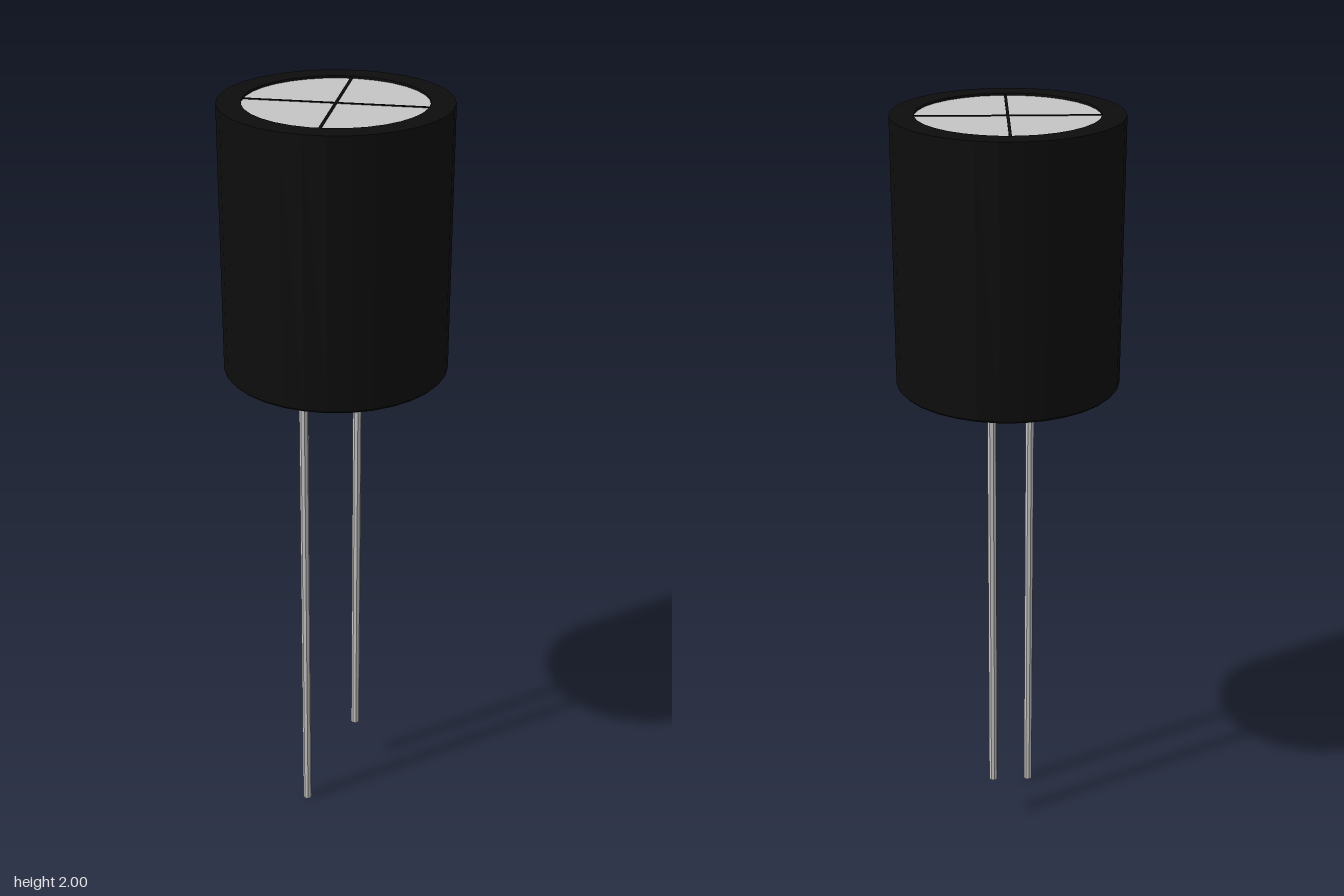
import * as THREE from 'three';

export function createModel() {
  const model = new THREE.Group();
  const black = new THREE.MeshStandardMaterial({ color: 0x0d0d0d, flatShading: true });
  black.name = 'black sleeve';
  const metal = new THREE.MeshStandardMaterial({ color: 0xc4c4c4, flatShading: true });
  metal.name = 'light grey metal';

  const add = (name, geometry, material, x, y, z) => {
    const mesh = new THREE.Mesh(geometry, material);
    mesh.name = name;
    mesh.position.set(x, y, z);
    model.add(mesh);
    return mesh;
  };

  // Sleeve: closed base, straight wall, rim folded over the top
  const R = 0.287, r = 0.227, base = 1.31, capY = 1.994;
  const profile = [
    [0, base], [R - 0.006, base], [R, base + 0.006], [R, 2], [r, 2], [r, capY - 0.004],
  ].map(([x, y]) => new THREE.Vector2(x, y));
  add('sleeve', new THREE.LatheGeometry(profile, 32), black, 0, 0, 0);

  // Metal top disc, set slightly below the rim
  add('topDisc', new THREE.CircleGeometry(r, 32).rotateX(-Math.PI / 2), metal, 0, capY, 0);

  // Crossed vent scores on the disc
  for (const [i, angle] of [0.49, 0.49 + Math.PI / 2].entries()) {
    const score = add('ventScore' + (i + 1), new THREE.BoxGeometry(2 * r, 0.004, 0.007), black, 0, capY, 0);
    score.rotation.y = angle;
  }

  // Wire leads, the front one longer
  const leadTop = base + 0.01;
  for (const [name, z, bottom] of [['longLead', 0.132, 0], ['shortLead', -0.092, 0.137]]) {
    const length = leadTop - bottom;
    add(name, new THREE.CylinderGeometry(0.012, 0.012, length, 8), metal, 0, bottom + length / 2, z);
  }
  return model;
}
